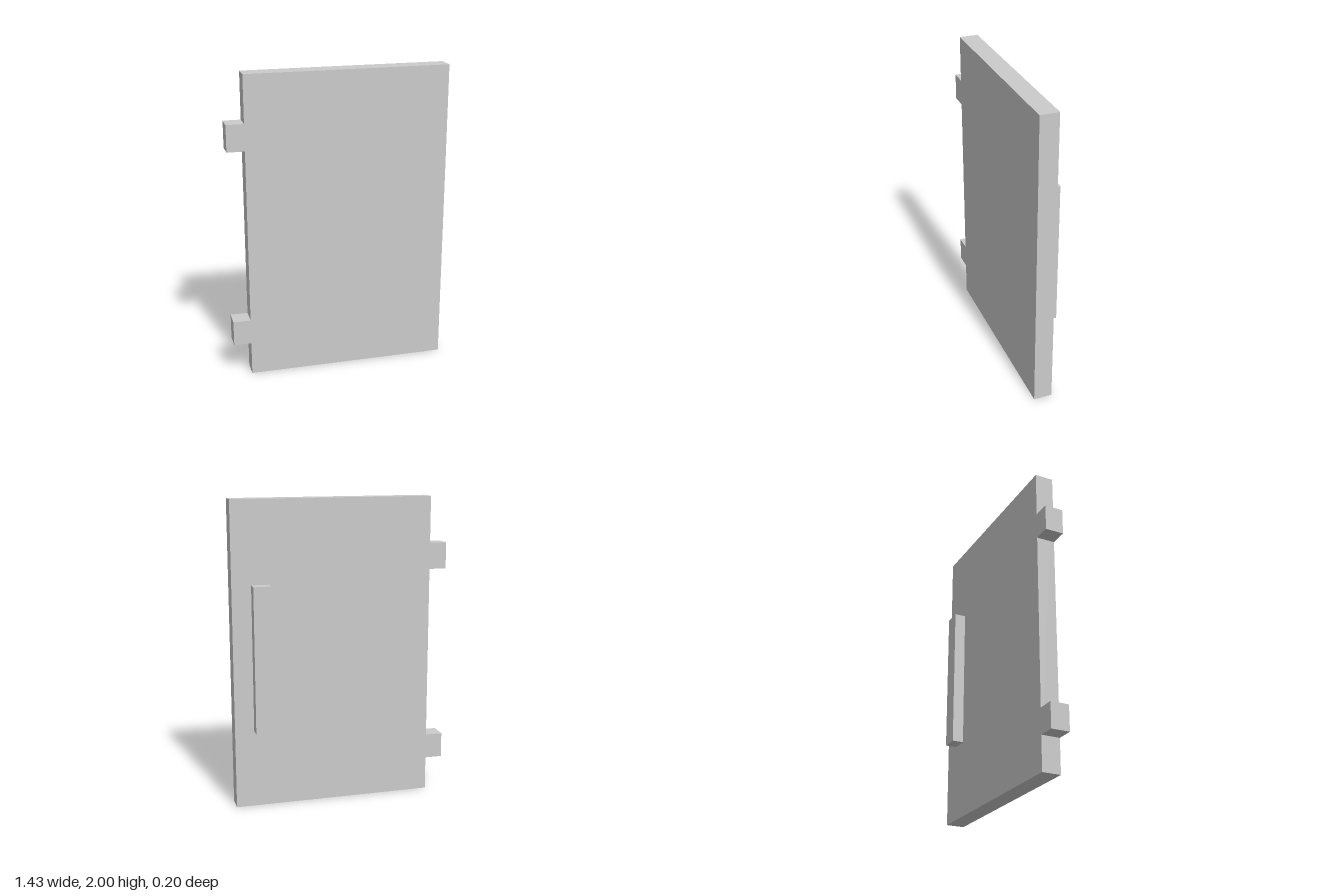
import * as THREE from 'three';

const material = new THREE.MeshStandardMaterial({ color: 0xcccccc, flatShading: true });

// Box given by its lower and upper corner
function block(name, [x0, y0, z0], [x1, y1, z1]) {
  const mesh = new THREE.Mesh(new THREE.BoxGeometry(x1 - x0, y1 - y0, z1 - z0), material);
  mesh.position.set((x0 + x1) / 2, (y0 + y1) / 2, (z0 + z1) / 2);
  mesh.name = name;
  return mesh;
}

export function createModel() {
  const group = new THREE.Group();
  group.name = 'door';
  const back = -0.023, front = 0.098;

  // Flat door panel
  group.add(block('panel', [-0.6, 0, back], [0.713, 2, front]));

  // Hinge tabs, flush with both faces of the panel
  group.add(block('lowerHinge', [-0.713, 0.22, back], [-0.6, 0.385, front]));
  group.add(block('upperHinge', [-0.713, 1.525, back], [-0.6, 1.697, front]));

  // Long bar handle on the back face
  group.add(block('handle', [0.475, 0.512, -0.098], [0.588, 1.465, back]));

  return group;
}
